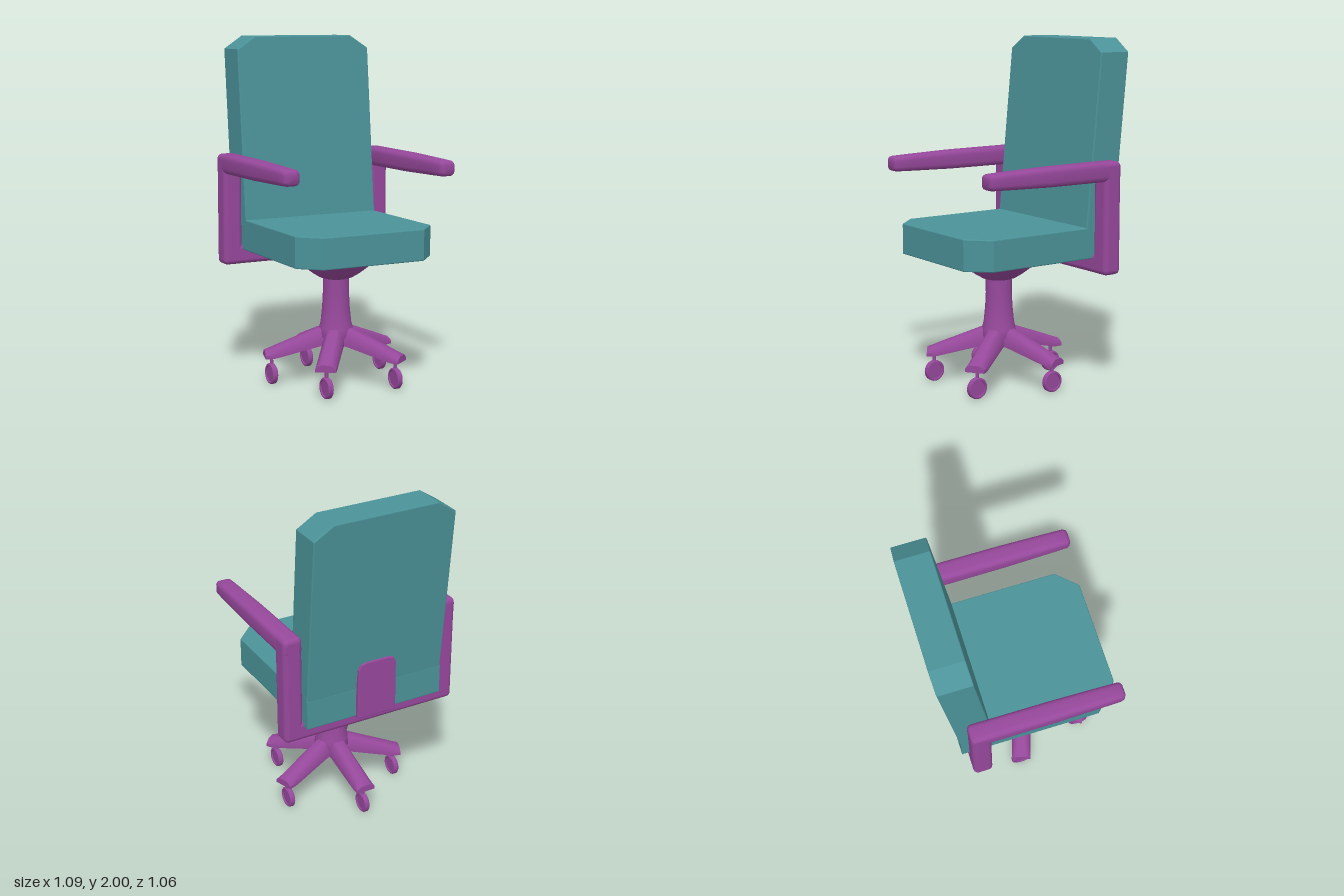
import * as THREE from 'three';
import { toCreasedNormals } from 'three/addons/utils/BufferGeometryUtils.js';
import { RoundedBoxGeometry } from 'three/addons/geometries/RoundedBoxGeometry.js';

const fabric = new THREE.MeshStandardMaterial({ color: 0x4b9399 });
const plastic = new THREE.MeshStandardMaterial({ color: 0x96489b });

function add(parent, name, geometry, material, x = 0, y = 0, z = 0) {
  const mesh = new THREE.Mesh(geometry, material);
  mesh.name = name;
  mesh.position.set(x, y, z);
  parent.add(mesh);
  return mesh;
}

// Skin over cross-sections [z, [[x, y], ...]] given counter-clockwise, capped at both ends
function loft(sections, crease = 0.7) {
  const n = sections[0][1].length, pos = [], idx = [];
  for (const [z, ring] of sections) for (const [x, y] of ring) pos.push(x, y, z);
  for (let i = 0; i < sections.length - 1; i++) {
    for (let j = 0; j < n; j++) {
      const a = i * n + j, b = i * n + (j + 1) % n;
      idx.push(a, b, b + n, a, b + n, a + n);
    }
  }
  const last = (sections.length - 1) * n;
  for (let j = 1; j < n - 1; j++) idx.push(0, j + 1, j, last, last + j, last + j + 1);
  const g = new THREE.BufferGeometry();
  g.setAttribute('position', new THREE.Float32BufferAttribute(pos, 3));
  g.setIndex(idx);
  return toCreasedNormals(g, crease);
}

// Rounded rectangle ring centred on (0, cy)
function roundRect(hw, hh, r, cy = 0) {
  const pts = [];
  for (let q = 0; q < 4; q++) {
    const sx = q === 0 || q === 3 ? 1 : -1, sy = q < 2 ? 1 : -1;
    for (let k = 0; k <= 4; k++) {
      const t = (q + k / 4) * Math.PI / 2;
      pts.push([sx * (hw - r) + r * Math.cos(t), cy + sy * (hh - r) + r * Math.sin(t)]);
    }
  }
  return pts;
}

// Extruded outline with a small bevel kept inside the given size
function slab(points, depth, bevel) {
  const g = new THREE.ExtrudeGeometry(new THREE.Shape(points.map(p => new THREE.Vector2(...p))), {
    depth: depth - 2 * bevel, bevelEnabled: true, bevelThickness: bevel,
    bevelSize: bevel, bevelOffset: -bevel, bevelSegments: 2,
  });
  return g.translate(0, 0, bevel);
}

function lathe(points, segments = 40) {
  return toCreasedNormals(
    new THREE.LatheGeometry(points.map(p => new THREE.Vector2(...p)), segments), 0.6);
}

// U-shaped leg section: wide foot, narrower rounded top, channel of depth d below
function legSection(z, hb, ht, yb, yt, d) {
  const hi = ht - 0.008, side = yb + (yt - yb) * 0.45;
  return [z, [
    [hb, yb], [hb, side], [ht, yt - 0.01], [ht * 0.6, yt], [-ht * 0.6, yt], [-ht, yt - 0.01],
    [-hb, side], [-hb, yb], [-hb + 0.012, yb], [-hi, yb + d], [hi, yb + d], [hb - 0.012, yb],
  ]];
}

export function createModel() {
  const chair = new THREE.Group();
  chair.name = 'officeChair';
  const baseZ = 0.074;

  // Seat cushion with cut front corners
  const seat = slab([[-0.43, 0.43], [-0.43, -0.41], [-0.315, -0.53], [0.315, -0.53],
    [0.43, -0.41], [0.43, 0.43]], 0.18, 0.006).rotateX(-Math.PI / 2);
  add(chair, 'seat', seat, fabric, 0, 0.76, 0);

  // Backrest, sheared so it leans backwards
  const back = slab([[-0.43, 0.9], [0.43, 0.9], [0.43, 1.925], [0.315, 2],
    [-0.315, 2], [-0.43, 1.925]], 0.197, 0.006);
  const p = back.attributes.position;
  for (let i = 0; i < p.count; i++) p.setZ(i, p.getZ(i) - 0.43 - 0.096 * (p.getY(i) - 0.94));
  back.computeVertexNormals();
  add(chair, 'backrest', back, fabric);

  // Bracket running under the seat and up behind the backrest
  const plate = slab([[-0.122, 0.752], [0.122, 0.752], [0.12, 1.06], [0.105, 1.09], [0.07, 1.1],
    [-0.07, 1.1], [-0.105, 1.09], [-0.12, 1.06]], 0.06, 0.006);
  add(chair, 'backBracket', plate, plastic, 0, 0, -0.455);
  add(chair, 'underBracket', new THREE.BoxGeometry(0.244, 0.02, 0.4), plastic, 0, 0.762, -0.25);

  // Arm frame: crossbar, two posts and two tapered armrests
  add(chair, 'armCrossbar', new RoundedBoxGeometry(1.09, 0.115, 0.115, 4, 0.028), plastic, 0, 0.733, -0.333);
  const armrest = loft([
    [-0.39, roundRect(0.042, 0.038, 0.02)],
    [-0.382, roundRect(0.052, 0.05, 0.026)],
    [-0.36, roundRect(0.0575, 0.057, 0.03)],
    [0.1, roundRect(0.0565, 0.055, 0.03)],
    [0.4, roundRect(0.052, 0.047, 0.028)],
    [0.48, roundRect(0.05, 0.044, 0.026)],
    [0.495, roundRect(0.044, 0.038, 0.022)],
    [0.502, roundRect(0.034, 0.028, 0.016)],
  ], 0.9);
  for (const s of [1, -1]) {
    const name = s > 0 ? 'left' : 'right';
    add(chair, name + 'ArmPost', new RoundedBoxGeometry(0.115, 0.647, 0.115, 4, 0.028), plastic, s * 0.488, 0.9985, -0.333);
    add(chair, name + 'Armrest', armrest, plastic, s * 0.488, 1.266, 0);
  }

  // Bowl below the seat and the flared column
  const bowl = lathe([[0.07, 0.615], [0.1, 0.625], [0.14, 0.65], [0.185, 0.685], [0.225, 0.722],
    [0.262, 0.765], [0, 0.765]]);
  add(chair, 'seatBowl', bowl, plastic, 0, 0, baseZ).scale.z = 1.03;
  const column = lathe([[0, 0.235], [0.085, 0.235], [0.105, 0.28], [0.098, 0.325], [0.089, 0.36],
    [0.08, 0.45], [0.076, 0.53], [0.076, 0.64]]);
  add(chair, 'column', column, plastic, 0, 0, baseZ);

  // Five-legged star base with casters that all roll forwards
  const leg = loft([
    legSection(0, 0.058, 0.036, 0.235, 0.345, 0.03),
    legSection(0.1, 0.058, 0.036, 0.225, 0.325, 0.03),
    legSection(0.35, 0.058, 0.04, 0.165, 0.228, 0.025),
    legSection(0.38, 0.058, 0.042, 0.16, 0.215, 0),
    legSection(0.42, 0.058, 0.044, 0.16, 0.2, 0),
  ]);
  const wheel = lathe([[0, -0.009], [0.046, -0.009], [0.048, -0.016], [0.056, -0.016], [0.061, -0.011],
    [0.061, 0.011], [0.056, 0.016], [0.048, 0.016], [0.046, 0.009], [0, 0.009]], 28).rotateZ(Math.PI / 2);
  const stem = new THREE.CylinderGeometry(0.01, 0.01, 0.07, 12);
  for (let i = 0; i < 5; i++) {
    const a = Math.PI + i * Math.PI * 2 / 5;
    const x = 0.379 * Math.sin(a), z = baseZ + 0.379 * Math.cos(a);
    add(chair, 'baseLeg', leg, plastic, 0, 0, baseZ).rotation.y = a;
    const caster = new THREE.Group();
    caster.name = 'caster';
    caster.position.set(x, 0, z);
    add(caster, 'casterWheel', wheel, plastic, 0, 0.061, 0);
    add(caster, 'casterStem', stem, plastic, 0, 0.145, 0);
    chair.add(caster);
  }
  return chair;
}
